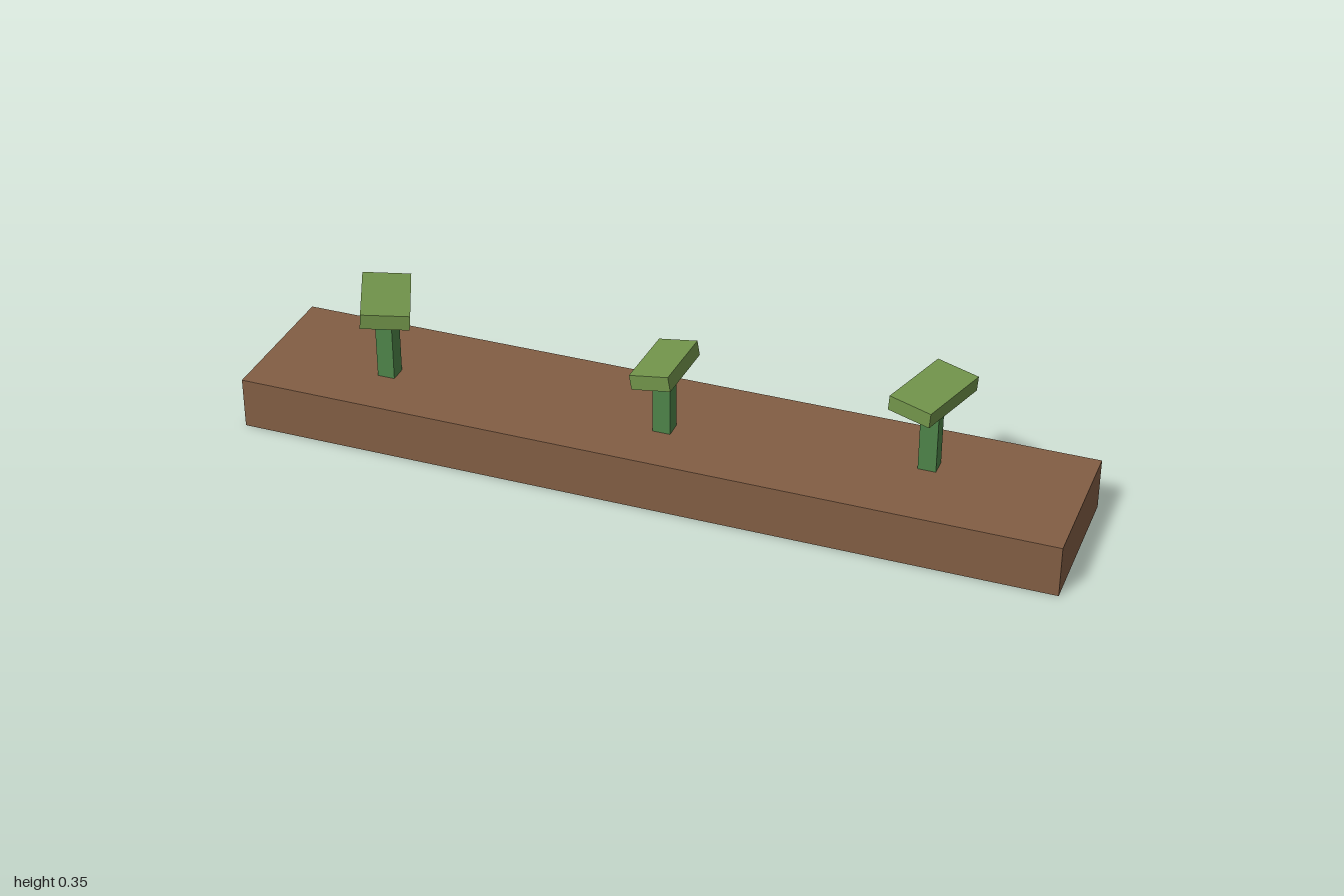
import * as THREE from 'three';

const material = (name, color) => {
  const m = new THREE.MeshStandardMaterial({ color, side: THREE.DoubleSide });
  m.name = name;
  return m;
};

// Box with its underside left open
function openBox(name, w, h, d, mat) {
  const geometry = new THREE.BoxGeometry(w, h, d);
  const index = Array.from(geometry.index.array);
  index.splice(18, 6);
  geometry.setIndex(index);
  geometry.clearGroups();
  const mesh = new THREE.Mesh(geometry, mat);
  mesh.name = name;
  return mesh;
}

export function createModel() {
  const soil = material('soil brown', 0x825e44);
  const stemGreen = material('stem green', 0x4e8449);
  const leafGreen = material('leaf green', 0x72954b);
  const model = new THREE.Group();
  model.name = 'planterBed';

  // Soil bed
  const bedHeight = 0.127;
  const bed = openBox('bed', 2, bedHeight, 0.374, soil);
  bed.position.y = bedHeight / 2;
  model.add(bed);

  // Sprouts: a square stem carrying a tilted leaf
  const sprouts = [
    { x: -0.684, z: 0.032, y: 0.325, w: 0.116, l: 0.205, yaw: 0.42, roll: -0.075 },
    { x: 0.018, z: 0.033, y: 0.298, w: 0.097, l: 0.177, yaw: -0.04, roll: 0.17 },
    { x: 0.637, z: -0.029, y: 0.321, w: 0.109, l: 0.2, yaw: -0.29, roll: -0.075 },
  ];
  for (const s of sprouts) {
    const sprout = new THREE.Group();
    sprout.name = 'sprout';
    sprout.position.set(s.x, 0, s.z);

    const stemHeight = s.y - bedHeight;
    const stem = openBox('stem', 0.043, stemHeight, 0.043, stemGreen);
    stem.position.y = bedHeight + stemHeight / 2;

    const leaf = openBox('leaf', s.w, 0.037, s.l, leafGreen);
    leaf.position.y = s.y;
    leaf.rotation.set(0, s.yaw, s.roll);

    sprout.add(stem, leaf);
    model.add(sprout);
  }
  return model;
}
